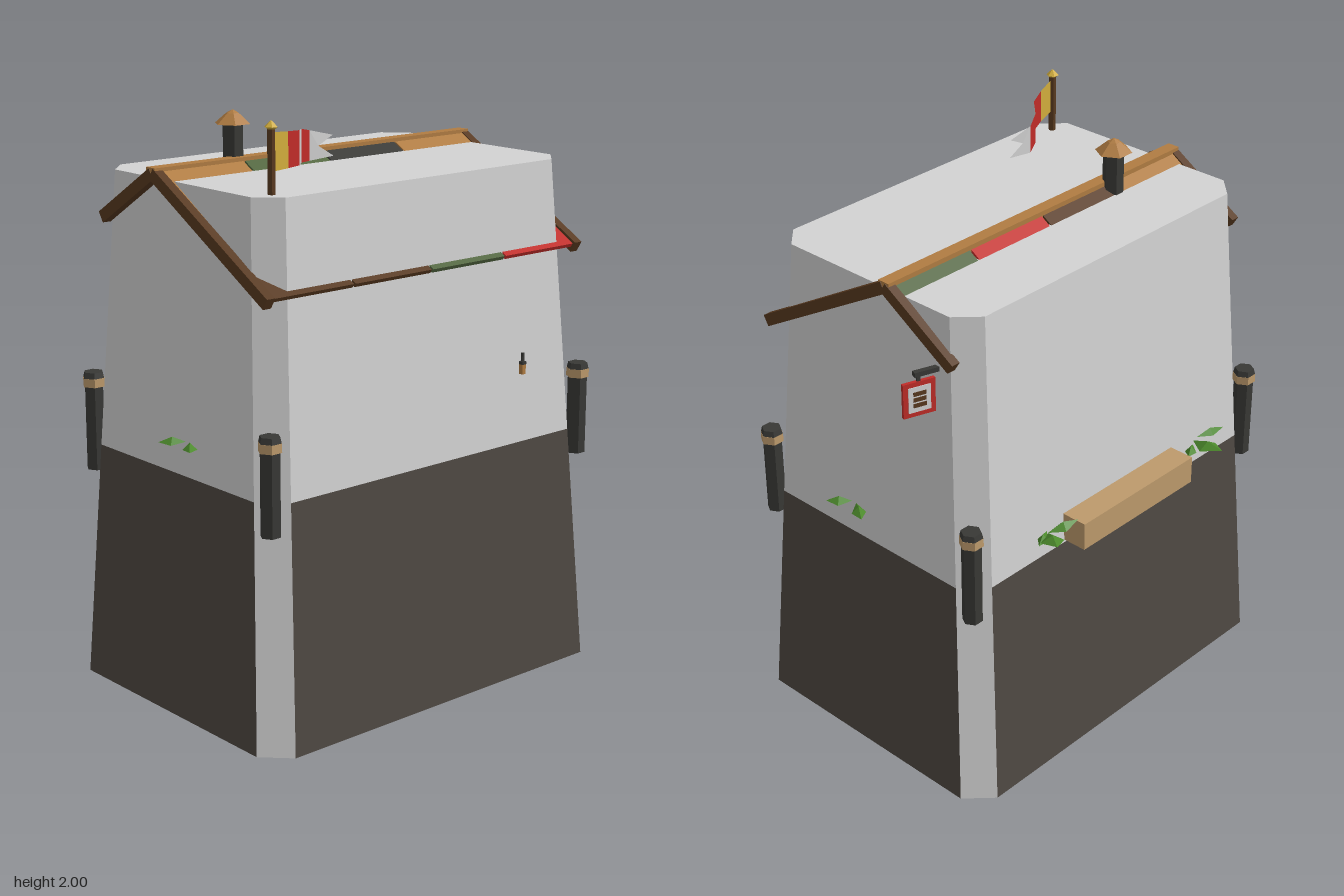
import * as THREE from 'three';

const mat = (name, color) => new THREE.MeshStandardMaterial({ name, color, flatShading: true, side: THREE.DoubleSide });
const M = {
  wall: mat('pale plaster', 0xd2d2d2), base: mat('dark base', 0x4e4842),
  darkWood: mat('dark wood', 0x58391f), wood: mat('warm wood', 0xb07c42),
  tan: mat('tan wood', 0xbd9a6c), red: mat('red', 0xc02c28),
  moss: mat('moss green', 0x52663f), iron: mat('iron', 0x383835),
  leaf: mat('leaf green', 0x4c8a2c), yellow: mat('yellow', 0xd0ac3c),
};
const lerp = THREE.MathUtils.lerp;

function add(parent, name, geo, material, x = 0, y = 0, z = 0) {
  const m = new THREE.Mesh(geo, material);
  m.name = name;
  m.position.set(x, y, z);
  parent.add(m);
  return m;
}

function group(parent, name, x = 0, y = 0, z = 0) {
  const g = new THREE.Group();
  g.name = name;
  g.position.set(x, y, z);
  parent.add(g);
  return g;
}

const box = (w, h, d) => new THREE.BoxGeometry(w, h, d);
const hex = (rTop, rBottom, h) => new THREE.CylinderGeometry(rTop, rBottom, h, 6).rotateY(Math.PI / 6);

// Flat convex polygons, each fanned into triangles
function polygons(list) {
  const pos = [];
  for (const p of list)
    for (let i = 1; i < p.length - 1; i++) pos.push(...p[0], ...p[i], ...p[i + 1]);
  const g = new THREE.BufferGeometry();
  g.setAttribute('position', new THREE.Float32BufferAttribute(pos, 3));
  g.computeVertexNormals();
  return g;
}

// Tower outline with cut corners at height y
const TOP = 1.775;
function outline(y) {
  const t = y / TOP;
  const x0 = lerp(-0.76, -0.67, t), x1 = lerp(0.75, 0.65, t);
  const z0 = lerp(-0.51, -0.39, t), z1 = lerp(0.597, 0.47, t), c = lerp(0.088, 0.075, t);
  return [[x0 + c, z1], [x1 - c, z1], [x1, z1 - c], [x1, z0 + c],
    [x1 - c, z0], [x0 + c, z0], [x0, z0 + c], [x0, z1 - c]].map(([x, z]) => [x, y, z]);
}

function tower(parent) {
  const low = outline(0), mid = outline(0.83), high = outline(TOP);
  const walls = [high, [...low].reverse()], panels = [];
  for (let i = 0; i < 8; i++) {
    const j = (i + 1) % 8;
    (i % 2 ? walls : panels).push([low[i], low[j], mid[j], mid[i]]);
    walls.push([mid[i], mid[j], high[j], high[i]]);
  }
  add(parent, 'towerWalls', polygons(walls), M.wall);
  add(parent, 'basePanels', polygons(panels), M.base);
}

// Beam between two [y, z] points
function slope(parent, name, material, x, w, h, [y0, z0], [y1, z1]) {
  const dy = y1 - y0, dz = z1 - z0;
  const m = add(parent, name, box(w, h, Math.hypot(dy, dz)), material, x, (y0 + y1) / 2, (z0 + z1) / 2);
  m.rotation.x = -Math.atan2(dy, dz);
}

function roof(parent) {
  const g = group(parent, 'roof');
  add(g, 'ridgeBeam', box(1.39, 0.034, 0.045), M.wood, -0.015, 1.798, -0.062);
  const ridge = [1.795, -0.06], front = [1.467, 0.51], back = [1.618, -0.345];
  for (const x of [-0.695, 0.667]) {
    slope(g, 'frontRafter', M.darkWood, x, 0.032, 0.04, ridge, front);
    slope(g, 'backRafter', M.darkWood, x, 0.032, 0.04, ridge, back);
  }
  // Coloured roof boards, mostly sunk into the tower
  const top = [1.806, -0.06], middle = [1.642, 0.225], eave = [1.474, 0.505], rear = [1.628, -0.335];
  const rows = [
    [top, middle, ['wood', 'moss', 'iron', 'wood']],
    [middle, eave, ['darkWood', 'darkWood', 'moss', 'red']],
    [top, rear, ['wood', 'darkWood', 'red', 'moss']],
  ];
  for (const [a, b, colors] of rows)
    colors.forEach((c, i) => slope(g, 'roofBoard', M[c], -0.515 + i * 0.335, 0.328, 0.014, a, b));
}

function chimney(parent) {
  const g = group(parent, 'chimney', -0.35, 0, -0.095);
  add(g, 'chimneyPipe', hex(0.036, 0.036, 0.16), M.iron, 0, 1.85, 0);
  add(g, 'chimneyCap', hex(0.022, 0.063, 0.035), M.wood, 0, 1.938, 0);
  add(g, 'chimneyTip', hex(0.004, 0.022, 0.01), M.wood, 0, 1.96, 0);
}

function flag(parent) {
  const g = group(parent, 'flag');
  add(g, 'flagPole', hex(0.013, 0.013, 0.21), M.darkWood, -0.592, 1.87, 0.4);
  add(g, 'poleFinial', hex(0.004, 0.022, 0.018), M.yellow, -0.592, 1.991, 0.4);
  add(g, 'finialBase', hex(0.022, 0.008, 0.01), M.yellow, -0.592, 1.977, 0.4);
  // Rows of x, z, bottom, top along the cloth
  const s = [[-0.585, 0.4, 1.845, 1.965], [-0.5, 0.37, 1.843, 1.957], [-0.425, 0.335, 1.84, 1.95],
    [-0.365, 0.272, 1.835, 1.942], [-0.3, 0.235, 1.83, 1.928]];
  [M.yellow, M.red, M.wall, M.red].forEach((m, i) => {
    const [a, b] = [s[i], s[i + 1]];
    add(g, 'flagStripe', polygons([[[a[0], a[2], a[1]], [b[0], b[2], b[1]], [b[0], b[3], b[1]], [a[0], a[3], a[1]]]]), m);
  });
  const notch = [-0.265, 1.875, 0.238], lo = [-0.3, 1.83, 0.235], hi = [-0.3, 1.928, 0.235];
  add(g, 'flagTails', polygons([[lo, [-0.205, 1.838, 0.243], notch],
    [notch, [-0.205, 1.905, 0.238], hi], [lo, notch, hi]]), M.wall);
}

function cornerPosts(parent) {
  for (const x of [-0.7, 0.69])
    for (const [z, y] of [[0.515, 0], [-0.432, 0.018]]) {
      const g = group(parent, 'cornerPost', x, 0, z);
      add(g, 'postShaft', hex(0.034, 0.034, 0.28 + y), M.iron, 0, 0.87 + y / 2, 0);
      add(g, 'postCollar', hex(0.04, 0.04, 0.03), M.tan, 0, 1.02 + y, 0);
      add(g, 'postCap', hex(0.034, 0.039, 0.02), M.iron, 0, 1.045 + y, 0);
    }
}

// Folded leaf from base to tip with a raised middle
function leaf(parent, base, tip, w) {
  const b = new THREE.Vector3(...base), t = new THREE.Vector3(...tip);
  const d = t.clone().sub(b);
  const side = new THREE.Vector3(-d.z, 0, d.x).normalize().multiplyScalar(w);
  const mid = b.clone().lerp(t, 0.5).add(new THREE.Vector3(0, 0.018, 0));
  const l = mid.clone().add(side).setY(mid.y - 0.024), r = mid.clone().sub(side).setY(mid.y - 0.024);
  const P = [b, l, t, r].map((v) => v.toArray()), c = mid.toArray();
  add(parent, 'leaf', polygons(P.map((p, i) => [p, P[(i + 1) % 4], c])), M.leaf);
}

function plants(parent) {
  add(parent, 'planter', box(0.555, 0.1, 0.095), M.tan, -0.003, 0.89, -0.493);
  const g = group(parent, 'leaves');
  const leaves = [
    [[-0.38, 0.93, -0.465], [-0.37, 0.95, -0.6], 0.04], [[-0.4, 0.935, -0.465], [-0.51, 0.94, -0.495], 0.018],
    [[-0.36, 0.93, -0.48], [-0.3, 0.92, -0.51], 0.02],
    [[0.38, 0.93, -0.475], [0.44, 0.95, -0.57], 0.04], [[0.37, 0.92, -0.465], [0.27, 0.945, -0.51], 0.025],
    [[0.38, 0.935, -0.47], [0.45, 0.925, -0.5], 0.018],
    [[0.7, 0.945, 0.09], [0.75, 0.94, 0.012], 0.024], [[0.7, 0.945, 0.11], [0.752, 0.94, 0.18], 0.024],
    [[-0.71, 0.945, 0.1], [-0.772, 0.94, 0.032], 0.024], [[-0.71, 0.945, 0.12], [-0.768, 0.94, 0.195], 0.024],
  ];
  for (const l of leaves) leaf(g, ...l);
}

function hangingSign(parent) {
  const g = group(parent, 'hangingSign', 0.723, 1.5, -0.248);
  g.rotation.y = -0.32;
  add(g, 'signBracket', box(0.12, 0.016, 0.018), M.iron, -0.045, 0.086, 0);
  add(g, 'signHanger', box(0.012, 0.03, 0.008), M.iron, 0, 0.07, 0);
  add(g, 'signBoard', box(0.11, 0.12, 0.012), M.red);
  for (const s of [-1, 1]) {
    add(g, 'signFace', box(0.076, 0.088, 0.003), M.wall, 0, 0, s * 0.007);
    for (const y of [-0.02, 0, 0.02])
      add(g, 'signBar', box(0.044, 0.014, 0.003), M.darkWood, 0, y, s * 0.009);
  }
}

function wallLantern(parent) {
  const g = group(parent, 'wallLantern', 0.395, 0, 0.53);
  add(g, 'lanternHook', box(0.008, 0.03, 0.008), M.iron, 0, 1.125, 0);
  add(g, 'lanternTop', box(0.018, 0.01, 0.018), M.iron, 0, 1.105, 0);
  add(g, 'lanternBody', box(0.016, 0.034, 0.016), M.wood, 0, 1.083, 0);
}

export function createModel() {
  const model = new THREE.Group();
  model.name = 'watchtower';
  for (const part of [tower, roof, chimney, flag, cornerPosts, plants, hangingSign, wallLantern]) part(model);
  return model;
}
